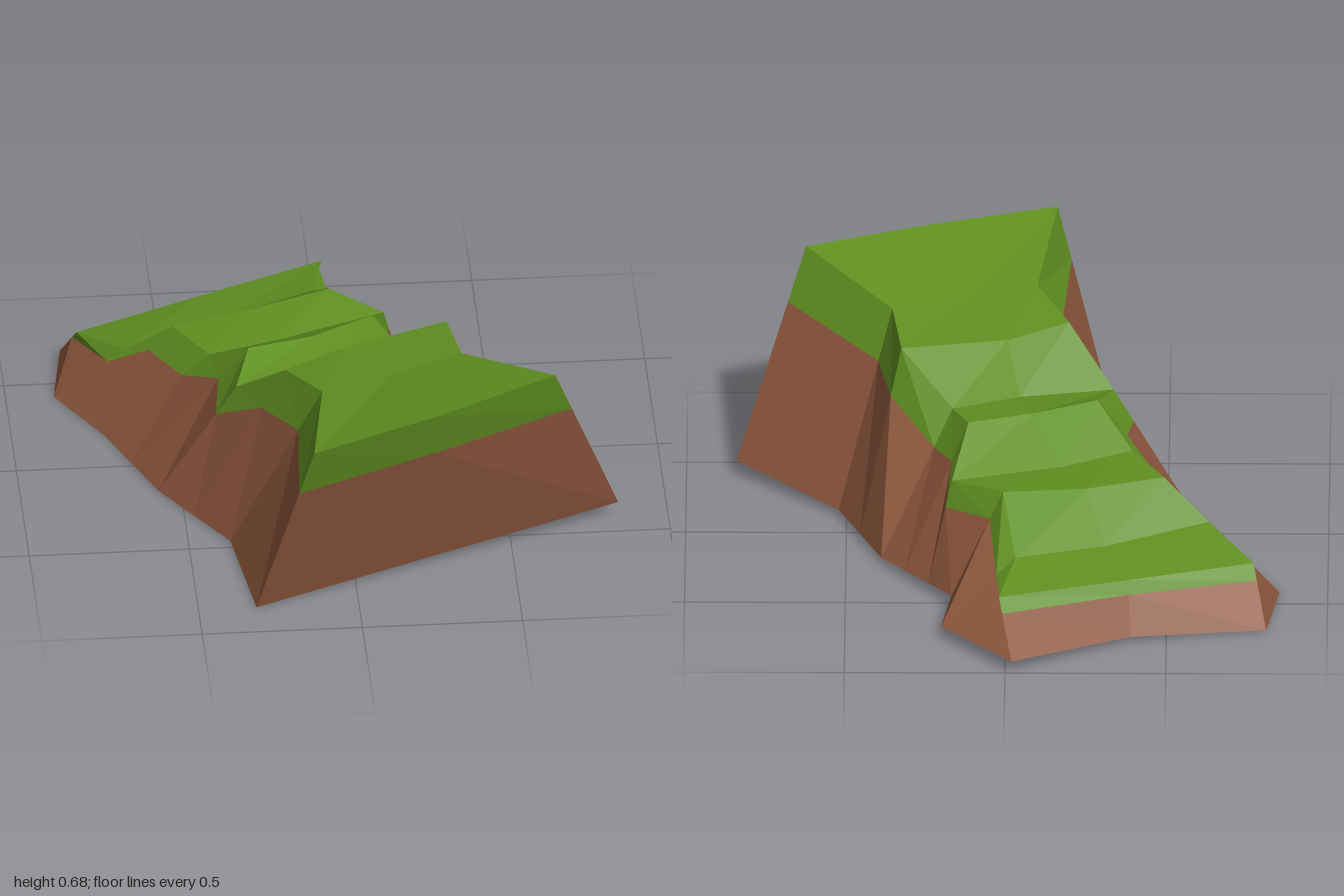
import * as THREE from 'three';

const grass = new THREE.MeshStandardMaterial({ name: 'grassGreen', color: 0x609021 });
const earth = new THREE.MeshStandardMaterial({ name: 'earthBrown', color: 0x8e573d });
const moss = new THREE.MeshStandardMaterial({ name: 'mossOlive', color: 0x7e8437 });
const mud = new THREE.MeshStandardMaterial({ name: 'mudBrown', color: 0x6f5d40 });
for (const m of [grass, earth, moss, mud]) m.flatShading = true;

const V = (p) => new THREE.Vector3(...p);
const mix = (P, Q, t) => P.map((p, i) => p.clone().lerp(Q[i], t));

// Point on a polyline at a fractional index
function along(line, t) {
  const i = Math.min(Math.floor(t), line.length - 2);
  return line[i].clone().lerp(line[i + 1], t - i);
}

// Ribbon of faceted quads between two lines of equal length
function ribbon(name, material, ...pairs) {
  const pos = [];
  const tri = (a, b, c) => {
    const n = b.clone().sub(a).cross(c.clone().sub(a));
    if (n.length() > 1e-9) for (const p of [a, b, c]) pos.push(p.x, p.y, p.z);
  };
  for (const [P, Q] of pairs) {
    for (let i = 0; i < P.length - 1; i++) {
      tri(P[i], Q[i], Q[i + 1]);
      tri(P[i], Q[i + 1], P[i + 1]);
    }
  }
  const g = new THREE.BufferGeometry();
  g.setAttribute('position', new THREE.Float32BufferAttribute(pos, 3));
  g.computeVertexNormals();
  const mesh = new THREE.Mesh(g, material);
  mesh.name = name;
  return mesh;
}

export function createModel() {
  const group = new THREE.Group();
  group.name = 'steppedHill';

  // Crest lines, front to back
  const rightTop = [
    [-0.15, 0.645, 1.0], [-0.09, 0.59, 0.55], [-0.19, 0.555, 0.36],
    [-0.33, 0.40, 0.20], [-0.28, 0.44, 0.04], [-0.39, 0.335, -0.10],
    [-0.49, 0.33, -0.28], [-0.63, 0.21, -0.35], [-0.77, 0.16, -0.54],
  ].map(V);
  const leftTop = [
    [0.63, 0.675, 0.65], [0.36, 0.595, 0.37], [0.33, 0.57, 0.14],
    [0.17, 0.43, 0.0], [0.12, 0.44, -0.12], [0.17, 0.33, -0.31],
    [0.01, 0.35, -0.43], [-0.03, 0.22, -0.63], [0.02, 0.19, -0.85],
  ].map(V);
  // Middle of the path, as x and z; slightly dished
  const midTop = [
    [0.24, 0.84], [0.13, 0.46], [0, 0.24], [-0.04, 0.14], [-0.08, -0.03],
    [-0.17, -0.19], [-0.25, -0.36], [-0.31, -0.51], [-0.38, -0.695],
  ].map(([x, z], i) => {
    const dip = i === 0 || i === 8 ? 0 : 0.012;
    return V([x, (rightTop[i].y + leftTop[i].y) / 2 - dip, z]);
  });

  // Foot lines, front to back, and the points on them below each crest point
  const rightFoot = [
    [-0.32, 0.005, 0.865], [-0.37, 0.005, 0.47], [-0.57, 0.005, 0.16],
    [-0.71, 0.002, -0.18], [-0.85, 0.002, -0.42], [-0.81, 0, -0.69],
  ].map(V);
  const leftFoot = [
    [0.845, 0.05, 0.41], [0.525, 0.02, 0.12], [0.39, 0.02, -0.22],
    [0.17, 0.035, -0.52], [0.20, 0.04, -0.75], [-0.02, 0.04, -1.0],
  ].map(V);
  const midFoot = mix(rightFoot, leftFoot, 0.5);
  midFoot[5].set(-0.39, 0.02, -0.78);
  const rightBase = [0, 1, 1.5, 2, 2.5, 3, 3.5, 4, 5].map((t) => along(rightFoot, t));
  const leftBase = [0, 1, 1.5, 2, 2.33, 2.67, 3, 4, 5].map((t) => along(leftFoot, t));

  // Grass hangs over the top quarter of every wall
  const edge = 0.26;
  const rightBand = mix(rightTop, rightBase, edge);
  const leftBand = mix(leftTop, leftBase, edge);
  const [front, back] = [0, 8].map((k) => {
    const top = [rightTop[k], midTop[k], leftTop[k]];
    const base = [rightBase[k], midFoot[k ? 5 : 0], leftBase[k]];
    return { top, base, band: mix(top, base, edge) };
  });

  group.add(
    ribbon('pathTop', grass, [rightTop, midTop], [midTop, leftTop]),
    ribbon('rightGrassEdge', grass, [rightBand, rightTop]),
    ribbon('leftGrassEdge', grass, [leftTop, leftBand]),
    ribbon('frontGrassEdge', grass, [front.top, front.band]),
    ribbon('backGrassEdge', grass, [back.band, back.top]),
    ribbon('rightEarthWall', earth, [rightBase, rightBand]),
    ribbon('leftEarthWall', earth, [leftBand, leftBase]),
    ribbon('frontEarthWall', earth, [front.band, front.base]),
    ribbon('backEarthWall', earth, [back.base, back.band]),
  );

  // Underside patches: each ends at these foot positions, from left to right
  const patches = [
    ['undersideEarth', earth, [2.05, 2.0, 1.95, 1.6, 1.4]],
    ['undersideFrontMud', mud, [2.05, 2.02, 2.0, 1.75, 1.6]],
    ['undersideGrass', grass, [2.15, 2.25, 2.28, 2.15, 2.05]],
    ['undersideMiddleMud', mud, [2.15, 2.3, 2.38, 2.5, 2.4]],
    ['undersideMoss', moss, [4.85, 4.65, 4.45, 4.4, 4.5]],
    ['undersideBackMud', mud, [4.95, 4.9, 4.8, 4.7, 4.75]],
    ['undersideBackGrass', grass, [5, 5, 5, 5, 5]],
  ];
  const across = (ts) => ts.map((t, j) => {
    const cut = [leftFoot, midFoot, rightFoot].map((line) => along(line, t));
    return along(cut, j / 2);
  });
  const steps = 20;
  let start = [0, 0, 0, 0, 0];
  for (const [name, material, end] of patches) {
    const lines = Array.from({ length: steps + 1 }, (_, i) =>
      across(start.map((s, j) => s + ((end[j] - s) * i) / steps)));
    group.add(ribbon(name, material, ...lines.slice(1).map((line, i) => [line, lines[i]])));
    start = end;
  }
  return group;
}
